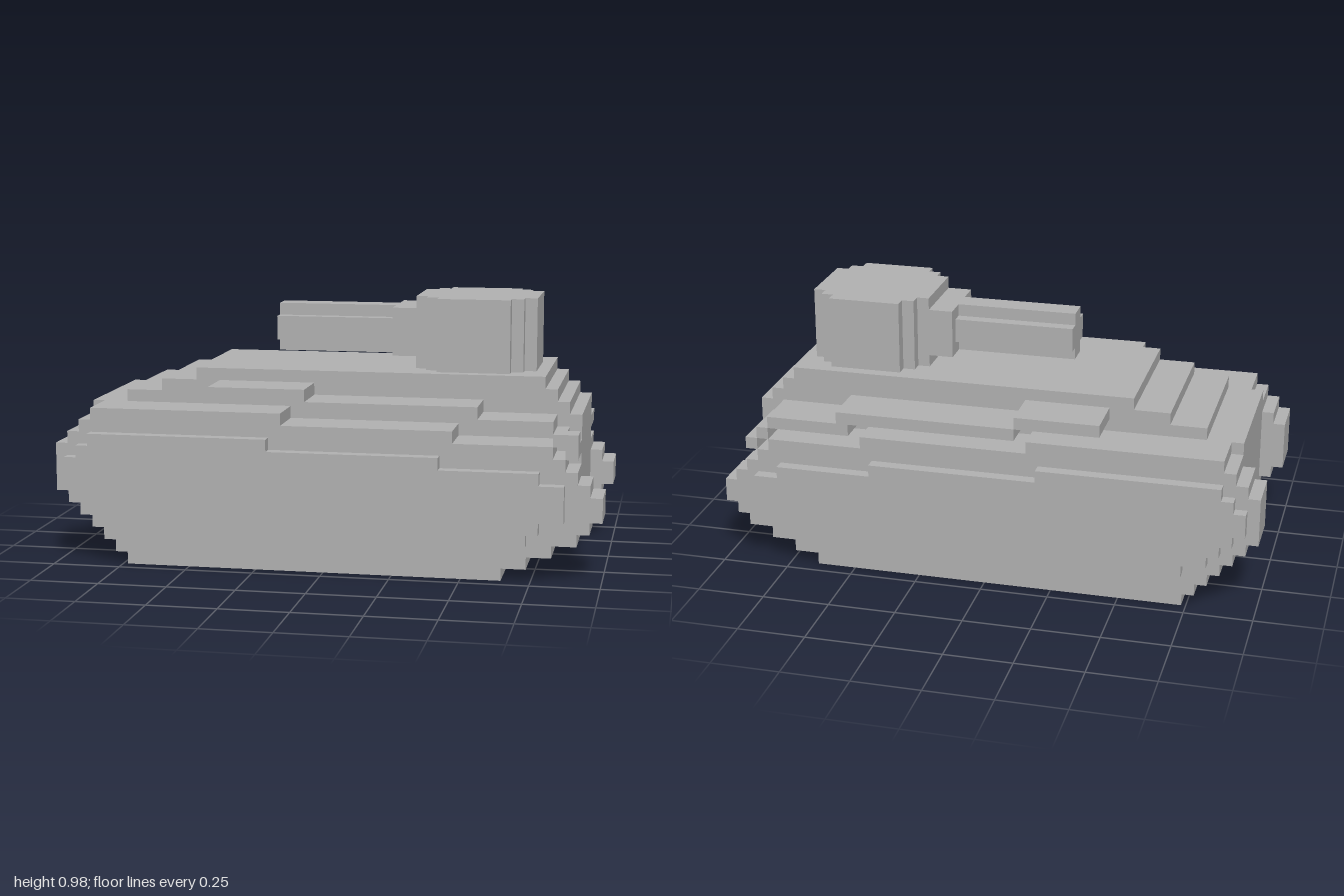
import * as THREE from 'three';

// Everything is laid out on a block grid, 45 blocks long
const U = 2 / 45;

export function createModel() {
  const model = new THREE.Group();
  const grey = new THREE.MeshStandardMaterial({ color: 0xb2b2b2 });
  grey.name = 'grey';

  const add = (name, geometry, parent = model) => {
    const mesh = new THREE.Mesh(geometry, grey);
    mesh.name = name;
    parent.add(mesh);
    return mesh;
  };

  // Box given by its grid limits
  const block = (name, x0, x1, y0, y1, z0, z1, parent) => {
    const g = new THREE.BoxGeometry((x1 - x0) * U, (y1 - y0) * U, (z1 - z0) * U);
    g.translate(((x0 + x1) / 2 - 22.5) * U, ((y0 + y1) / 2) * U, ((z0 + z1) / 2) * U);
    return add(name, g, parent);
  };

  // Stepped outline from [start, end] spans, one per row, extruded from z0 to z1
  const stepped = (first, spans, z0, z1) => {
    const right = [], left = [];
    spans.forEach(([a, b], i) => {
      const y = first + i;
      right.push([b, y], [b, y + 1]);
      left.push([a, y], [a, y + 1]);
    });
    const outline = [...right, ...left.reverse()]
      .map(([x, y]) => new THREE.Vector2((x - 22.5) * U, y * U))
      .filter((p, i, all) => i === 0 || p.distanceTo(all[i - 1]) > 1e-6);
    const g = new THREE.ExtrudeGeometry(new THREE.Shape(outline), {
      depth: (z1 - z0) * U, bevelEnabled: false,
    });
    return g.translate(0, 0, z0 * U);
  };
  const repeat = (n, span) => Array(n).fill(span);

  // Central hull with stepped nose, tail and roof
  add('hull', stepped(2, [
    [4, 41], [3, 43], ...repeat(9, [2, 43]), [5, 42], [8, 41], [11, 40],
  ], -6, 6));

  // Track and its outer plate, rows from the ground up
  const trackRows = [
    [6, 37], [5, 39], [4, 41], [3, 43], [2, 44], [1, 45], [0, 45],
    [0, 44], [0, 43], [0, 42], [1, 41], [2, 33], [3, 19],
  ];
  const plateRows = [
    [6, 39], [4, 40], [3, 42], [2, 42], [1, 42], [1, 40], [2, 32], [3, 18],
  ];

  for (const side of [1, -1]) {
    const label = side > 0 ? 'front' : 'back';
    const span = (a, b) => (side > 0 ? [a, b] : [-b, -a]);
    add(label + 'Track', stepped(0, trackRows, ...span(6, 10)));
    add(label + 'TrackPlate', stepped(3, plateRows, ...span(10, 11)));

    // Overhanging fender stepping down towards the tail
    const fender = new THREE.Group();
    fender.name = label + 'Fender';
    model.add(fender);
    const z = span(6, 10);
    block('upperFender', 13, side > 0 ? 21 : 20, 14, 15, ...z, fender);
    block('middleFender', 20, 35, 13, 14, ...z, fender);
    block('lowerFender', 34, 41, 12, 13, ...z, fender);
    block('fenderStep', 41, 42, 11, 12, ...z, fender);
    block('mudguard', 42, 43, 10, 11, ...z, fender);
    if (side > 0) block('mudguardCorner', 42, 43, 11, 12, 8, 10, fender);
  }

  // Turret: rounded plan extruded upwards
  const plan = stepped(-5, [
    [31, 37], [30, 38], ...repeat(6, [29, 39]), [30, 38], [31, 37],
  ], 16, 22);
  add('turret', plan.rotateX(-Math.PI / 2));
  block('gunMount', 27, 29, 17, 21, -3, 3);

  // Gun barrel with a cross-shaped section
  const barrel = new THREE.Group();
  barrel.name = 'gunBarrel';
  model.add(barrel);
  block('barrelCore', 17, 27, 17, 21, -1, 1, barrel);
  block('barrelSides', 17, 27, 18, 20, -2, 2, barrel);

  return model;
}
